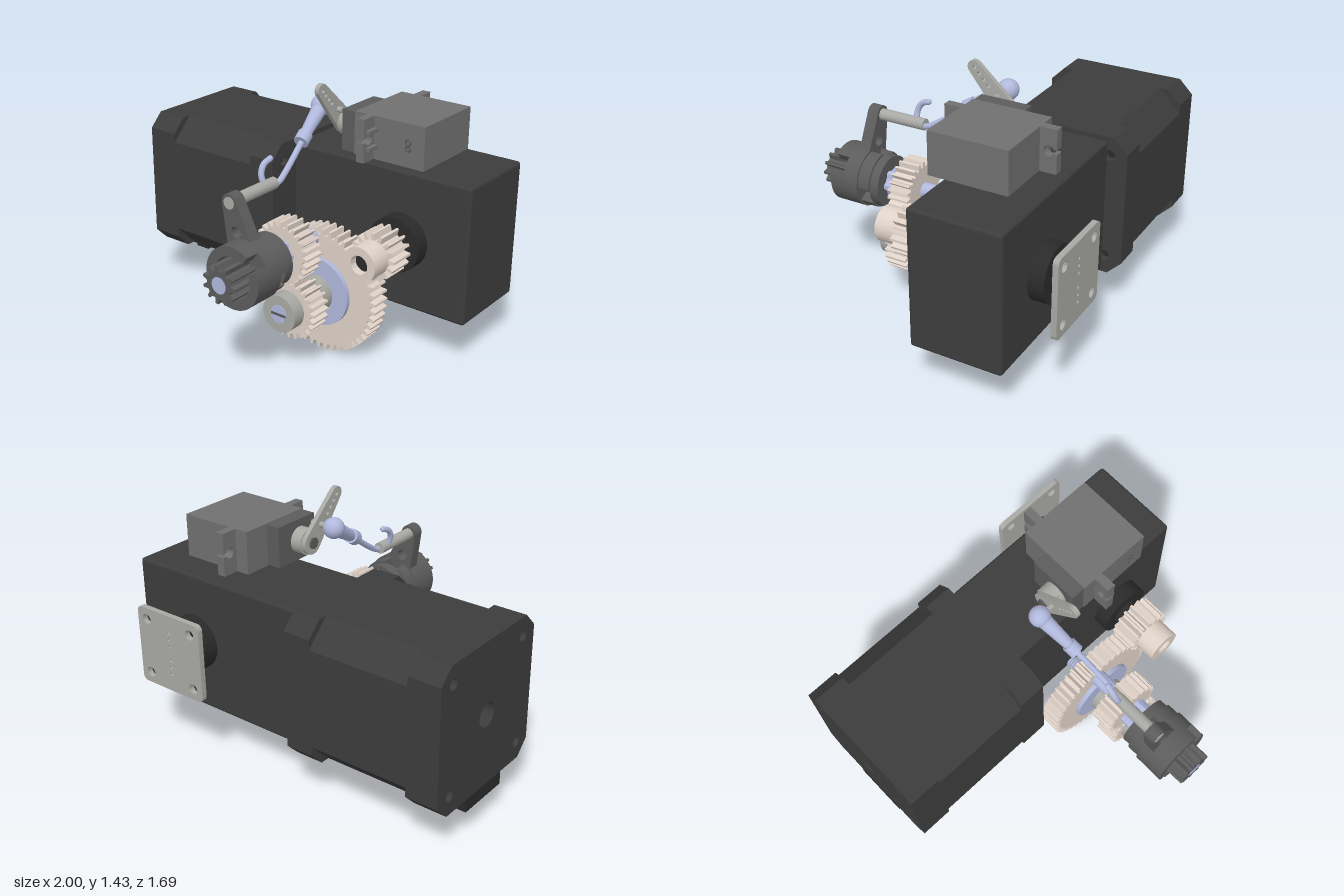
import * as THREE from 'three';
import { toCreasedNormals } from 'three/addons/utils/BufferGeometryUtils.js';
import { RoundedBoxGeometry } from 'three/addons/geometries/RoundedBoxGeometry.js';

const mat = (color) => new THREE.MeshStandardMaterial({ color });
const V = (x, y, z) => new THREE.Vector3(x, y, z);

export function createModel() {
  const model = new THREE.Group();
  const black = mat(0x3c3c3c), jet = mat(0x2a2a2a), dark = mat(0x5c5c5c), servoGrey = mat(0x707070);
  const silver = mat(0xa8a8a4), beige = mat(0xdfd2c8), blue = mat(0xb0b8dc), brass = mat(0xb08d50);

  const add = (name, geo, m, x = 0, y = 0, z = 0) => {
    const mesh = new THREE.Mesh(geo, m);
    mesh.name = name;
    mesh.position.set(x, y, z);
    model.add(mesh);
    return mesh;
  };
  const box = (name, m, x0, x1, y0, y1, z0, z1) =>
    add(name, new THREE.BoxGeometry(x1 - x0, y1 - y0, z1 - z0), m, (x0 + x1) / 2, (y0 + y1) / 2, (z0 + z1) / 2);
  const cylZ = (name, m, x, y, z0, z1, r, seg = 40) =>
    add(name, new THREE.CylinderGeometry(r, r, z1 - z0, seg).rotateX(Math.PI / 2), m, x, y, (z0 + z1) / 2);
  const cylX = (name, m, x0, x1, y, z, r, seg = 32) =>
    add(name, new THREE.CylinderGeometry(r, r, x1 - x0, seg).rotateZ(Math.PI / 2), m, (x0 + x1) / 2, y, z);
  // cylinder or cone running between two points
  const between = (name, m, a, b, ra, rb) => {
    const mesh = add(name, new THREE.CylinderGeometry(rb, ra, a.distanceTo(b), 20), m);
    mesh.position.copy(a).lerp(b, 0.5);
    mesh.quaternion.setFromUnitVectors(V(0, 1, 0), b.clone().sub(a).normalize());
  };
  const hole = (shape, x, y, r) => shape.holes.push(new THREE.Path().absarc(x, y, r, 0, Math.PI * 2, true));
  const extrude = (shape, depth) => toCreasedNormals(
    new THREE.ExtrudeGeometry(shape, { depth, bevelEnabled: false, curveSegments: 20 }), 0.5);
  // outline drawn as (-z, y), extruded along +x
  const extrudeX = (name, m, shape, x0, x1) => {
    const mesh = add(name, extrude(shape, x1 - x0), m, x0, 0, 0);
    mesh.rotation.y = Math.PI / 2;
    return mesh;
  };
  // square with cut corners
  const octagon = (cx, cy, h, c) => new THREE.Shape([
    [h, c - h], [h, h - c], [h - c, h], [c - h, h], [-h, h - c], [-h, c - h], [c - h, -h], [h - c, -h],
  ].map(([x, y]) => new THREE.Vector2(cx + x, cy + y)));
  // tapered link: two circles joined by tangents
  const link = (x1, y1, r1, x2, y2, r2) => {
    const a = Math.atan2(y2 - y1, x2 - x1), b = Math.acos((r1 - r2) / Math.hypot(x2 - x1, y2 - y1));
    return new THREE.Shape().absarc(x1, y1, r1, a + b, a - b + Math.PI * 2, false)
      .absarc(x2, y2, r2, a - b, a + b, false);
  };
  // spur gear with tapered teeth
  const gear = (name, m, x, y, z0, z1, n, rOut, rRoot, bore, phase = 0) => {
    const pts = [];
    for (let i = 0; i < n; i++) {
      for (const [t, r] of [[-0.32, rRoot], [-0.13, rOut], [0.13, rOut], [0.32, rRoot]]) {
        const a = ((i + t + phase) / n) * Math.PI * 2;
        pts.push(new THREE.Vector2(Math.cos(a) * r, Math.sin(a) * r));
      }
    }
    const s = new THREE.Shape(pts);
    hole(s, 0, 0, bore);
    return add(name, extrude(s, z1 - z0), m, x, y, z0);
  };

  // motor: two end caps around a body with deeper cut corners
  const mz = 0.358, my = 0.645;
  for (const [x0, x1, isBack] of [[-1, -0.82, true], [-0.255, -0.1, false]]) {
    const s = octagon(mz, my, 0.397, 0.078);
    for (const i of [-1, 1]) for (const j of [-1, 1]) hole(s, mz + i * 0.298, my + j * 0.295, 0.03);
    if (isBack) hole(s, mz, my, 0.065);
    extrudeX('motorEndCap', black, s, x0, x1);
    for (const i of [-1, 1]) for (const j of [-1, 1]) {
      cylX('capScrew', jet, x0 + 0.03, x1 - 0.03, my + j * 0.295, -mz + i * 0.298, 0.024, 16);
    }
  }
  extrudeX('motorBody', black, octagon(mz, my, 0.397, 0.13), -0.82, -0.255);
  cylX('rearShaft', jet, -0.95, -0.82, my, -mz, 0.03);

  // plug socket under the motor
  box('connector', jet, -1, -0.88, 0.175, 0.25, -0.507, -0.2);
  box('connectorLip', jet, -0.91, -0.82, 0.155, 0.25, -0.5, -0.21);
  for (let i = 0; i < 5; i++) {
    box('connectorRib', black, -0.83, -0.81, 0.17, 0.235, -0.465 + i * 0.053, -0.45 + i * 0.053);
  }

  // gearbox with shaft bosses front and back
  add('gearbox', new RoundedBoxGeometry(1.1, 0.757, 0.505, 3, 0.018), black, 0.45, 0.645, -0.395);
  const px = 0.615, py = 0.648;
  cylZ('frontBoss', jet, px, py, -0.15, -0.057, 0.15);
  cylZ('frontShaft', jet, px, py, -0.06, 0.2, 0.052);
  cylZ('frontCollar', jet, px, py, -0.06, -0.02, 0.08);
  cylZ('rearBoss', jet, px, py, -0.735, -0.64, 0.15);
  cylZ('rearCollar', jet, px, py, -0.775, -0.73, 0.08);
  gear('rearSpline', jet, px, py, -0.815, -0.77, 14, 0.05, 0.04, 0.01);

  // square output plate on the back
  const h = 0.218, c = 0.03, plate = new THREE.Shape();
  plate.absarc(h - c, h - c, c, 0, Math.PI / 2).absarc(c - h, h - c, c, Math.PI / 2, Math.PI)
    .absarc(c - h, c - h, c, Math.PI, Math.PI * 1.5).absarc(h - c, c - h, c, Math.PI * 1.5, Math.PI * 2);
  for (const i of [-1, 1]) {
    for (const j of [-1, 1]) hole(plate, i * 0.155, j * 0.155, 0.028);
    for (const d of [0.04, 0.08, 0.12]) hole(plate, 0, i * d, 0.009);
    cylZ('plateScrew', brass, px + i * 0.06, py - 0.11, -0.812, -0.785, 0.02, 12);
  }
  add('outputPlate', extrude(plate, 0.03), silver, px, py, -0.84);

  // drive pinion
  gear('pinion', beige, px, py, -0.02, 0.13, 16, 0.13, 0.095, 0.05);
  const hub = new THREE.Shape().absarc(0, 0, 0.095, 0, Math.PI * 2);
  hole(hub, 0, 0, 0.05);
  add('pinionHub', extrude(hub, 0.115), beige, px, py, 0.13);

  // intermediate axle
  const ax = 0.278, ay = 0.352;
  gear('largeGear', beige, ax, ay, -0.005, 0.108, 46, 0.35, 0.316, 0.04, 0.3);
  cylZ('gearDisc', blue, ax, ay, 0.1, 0.132, 0.19, 48);
  cylZ('innerCollar', silver, ax, ay, 0.14, 0.22, 0.102);
  cylZ('axle', blue, ax, ay, -0.01, 0.44, 0.048);
  gear('axleGear', beige, ax, ay, 0.255, 0.38, 24, 0.166, 0.138, 0.04, 0.1);
  cylZ('outerCollar', silver, ax, ay, 0.38, 0.455, 0.102);
  cylZ('screwHead', blue, ax, ay, 0.45, 0.46, 0.05);
  box('screwSlot', dark, ax - 0.047, ax + 0.047, ay - 0.007, ay + 0.007, 0.455, 0.462);
  const thread = [new THREE.Vector2(0, 0)];
  for (let i = 0; i < 10; i++) {
    thread.push(new THREE.Vector2(0.027, i * 0.0135), new THREE.Vector2(0.036, i * 0.0135 + 0.0067));
  }
  thread.push(new THREE.Vector2(0, 0.135));
  add('threadedBolt', toCreasedNormals(new THREE.LatheGeometry(thread, 24).rotateX(Math.PI / 2), 0.4),
    blue, ax, ay, -0.135);

  // output shaft with sliding dog clutch
  const ux = 0.23, uy = 0.652;
  cylZ('outputShaft', blue, ux, uy, 0.12, 0.846, 0.044);
  gear('outputGear', beige, ux, uy, 0.255, 0.38, 24, 0.168, 0.14, 0.04);
  gear('splinedHub', blue, ux, uy, 0.38, 0.5, 6, 0.083, 0.07, 0.04);
  cylZ('clutchDisc', dark, ux, uy, 0.46, 0.515, 0.143);
  cylZ('clutchCore', dark, ux, uy, 0.5, 0.66, 0.1);
  const sector = (name, r0, r1, a0, a1, z0, z1) => add(name, extrude(
    new THREE.Shape().absarc(0, 0, r1, a0, a1, false).absarc(0, 0, r0, a1, a0, true), z1 - z0), dark, ux, uy, z0);
  for (let i = 0; i < 3; i++) sector('clutchDog', 0.09, 0.155, i * 2.094, i * 2.094 + 1.5, 0.51, 0.58);
  cylZ('clutchFlange', dark, ux, uy, 0.58, 0.67, 0.165, 48);
  for (const a of [-2.3, 0.95]) sector('clutchRing', 0.112, 0.165, a, a + 2.75, 0.66, 0.75);
  gear('outputPinion', dark, ux, uy, 0.66, 0.845, 11, 0.102, 0.075, 0.04);

  // shift lever and its cross pin
  const lever = link(ux, uy, 0.1, 0.128, 0.984, 0.046);
  hole(lever, 0.17, 0.84, 0.03);
  add('shiftLever', extrude(lever, 0.065), dark, 0, 0, 0.58);
  cylZ('leverPin', silver, 0.128, 0.983, 0.305, 0.648, 0.032, 24);

  // hooked push rod with ball joint
  const path = new THREE.CatmullRomCurve3([V(0.1, 1.105, 0.3), V(0.095, 1.085, 0.345), V(0.1, 1.04, 0.37),
    V(0.115, 0.995, 0.365), V(0.13, 0.978, 0.33), V(0.14, 0.983, 0.285), V(0.135, 1.02, 0.22),
    V(0.11, 1.135, 0.05)]);
  add('pushRod', new THREE.TubeGeometry(path, 60, 0.016, 10), blue);
  add('hookTip', new THREE.SphereGeometry(0.016, 10, 8), blue, 0.1, 1.105, 0.3);
  const ball = V(0.07, 1.262, -0.16), sleeve = V(0.11, 1.127, 0.065);
  const at = (t) => sleeve.clone().lerp(ball, t);
  between('rodNut', blue, at(0), at(0.22), 0.04, 0.04);
  between('rodSleeve', blue, at(0.2), at(1), 0.03, 0.043);
  add('ballJoint', new THREE.SphereGeometry(0.056, 28, 18), blue, ball.x, ball.y, ball.z);
  cylX('ballStud', silver, 0.07, 0.21, ball.y, ball.z, 0.016, 16);

  // servo with mounting tabs
  box('servoBody', servoGrey, 0.325, 0.745, 1.065, 1.295, -0.535, -0.105);
  box('servoGearHead', dark, 0.245, 0.33, 1.07, 1.29, -0.385, -0.108);
  const tab = new THREE.Shape(), yMid = 1.18, notch = 0.028;
  tab.moveTo(0.015, 1.065);
  tab.lineTo(0.625, 1.065).lineTo(0.625, yMid - 0.012).lineTo(0.605, yMid - 0.012);
  tab.absarc(0.582, yMid, notch, -0.45, 0.45, true);
  tab.lineTo(0.625, yMid + 0.012).lineTo(0.625, 1.295).lineTo(0.015, 1.295).lineTo(0.015, yMid + 0.012);
  tab.absarc(0.058, yMid, notch, Math.PI - 0.45, Math.PI + 0.45, true);
  tab.lineTo(0.015, yMid - 0.012);
  extrudeX('servoTabs', servoGrey, tab, 0.4, 0.446);
  for (const s of [-1, 1]) {
    box('tabRib', servoGrey, 0.44, 0.47, yMid + s * 0.045 - 0.01, yMid + s * 0.045 + 0.01, -0.106, -0.03);
    add('cableEyelet', new THREE.TorusGeometry(0.014, 0.005, 8, 16), dark, 0.65, yMid + s * 0.016, -0.105);
  }

  // servo output and horn
  cylX('servoCollar', silver, 0.18, 0.25, 1.18, -0.225, 0.07);
  const horn = link(0.225, 1.18, 0.062, 0.025, 1.393, 0.036);
  for (let i = 0; i < 4; i++) hole(horn, 0.105 - i * 0.026, 1.308 + i * 0.0277, 0.011);
  extrudeX('servoHorn', silver, horn, 0.155, 0.181);
  cylX('hornScrew', dark, 0.145, 0.16, 1.18, -0.225, 0.03, 20);

  return model;
}
